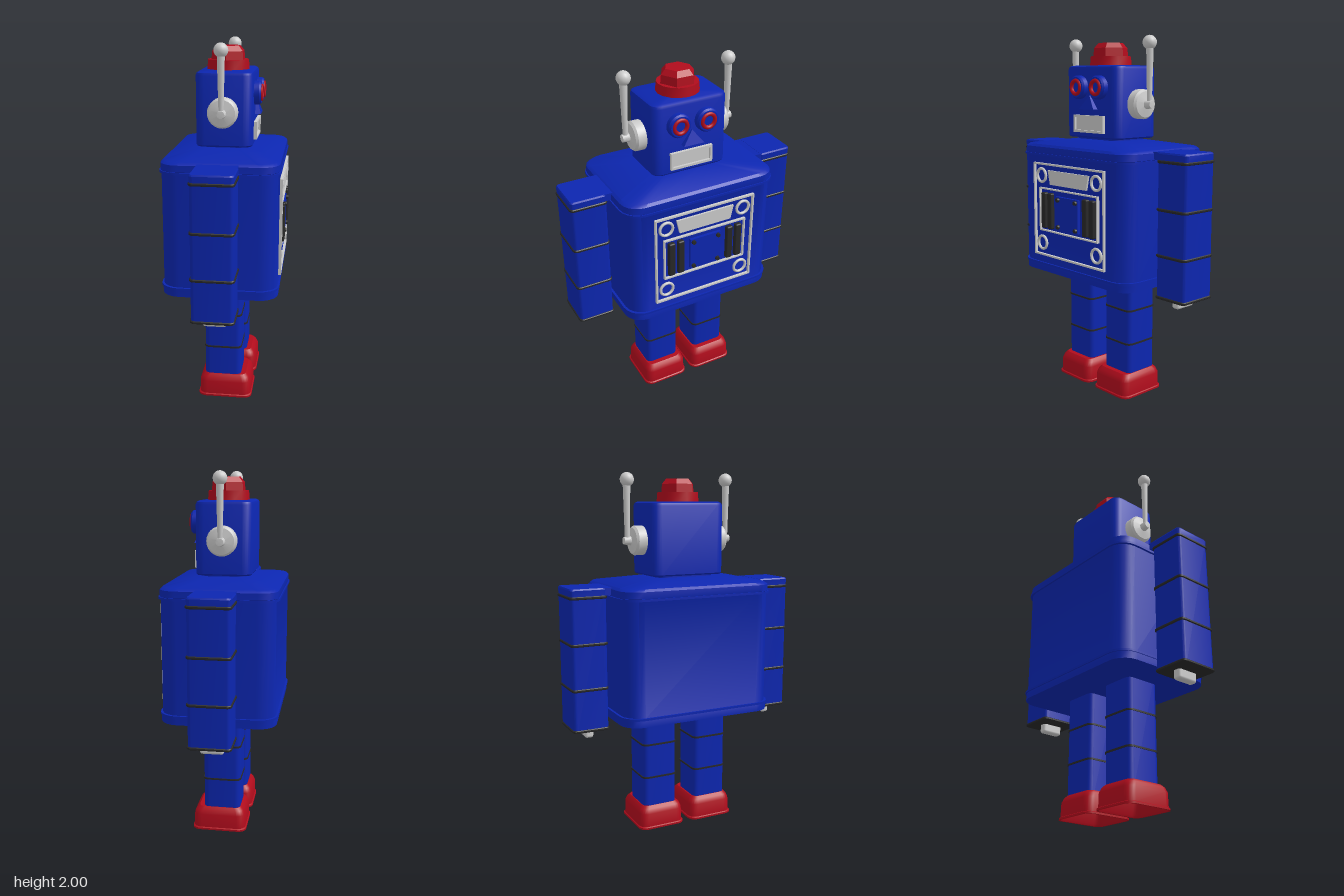
import * as THREE from 'three';
import { toCreasedNormals } from 'three/addons/utils/BufferGeometryUtils.js';
import { RoundedBoxGeometry } from 'three/addons/geometries/RoundedBoxGeometry.js';

const mat = (color) => new THREE.MeshStandardMaterial({ color, side: THREE.DoubleSide });

// Stack of rounded-rectangle rings [y, halfX, halfZ, cornerRadius], listed in order along the skin
function loft(rings, capStart = true, capEnd = true) {
  const pos = [], idx = [], seg = 5, n = 4 * (seg + 1);
  for (const [y, hx, hz, r] of rings) {
    for (let q = 0; q < 4; q++) {
      const sx = q === 0 || q === 3 ? 1 : -1, sz = q < 2 ? 1 : -1;
      for (let i = 0; i <= seg; i++) {
        const a = (q + i / seg) * Math.PI / 2;
        pos.push(sx * (hx - r) + r * Math.cos(a), y, sz * (hz - r) + r * Math.sin(a));
      }
    }
  }
  for (let k = 0; k < rings.length - 1; k++) {
    for (let i = 0; i < n; i++) {
      const a = k * n + i, b = k * n + (i + 1) % n;
      idx.push(a, a + n, b, b, a + n, b + n);
    }
  }
  const cap = (k, up) => {
    const c = pos.length / 3;
    pos.push(0, rings[k][0], 0);
    for (let i = 0; i < n; i++) {
      const a = k * n + i, b = k * n + (i + 1) % n;
      idx.push(c, up ? b : a, up ? a : b);
    }
  };
  if (capStart) cap(0, false);
  if (capEnd) cap(rings.length - 1, true);
  const g = new THREE.BufferGeometry();
  g.setAttribute('position', new THREE.Float32BufferAttribute(pos, 3));
  g.setIndex(idx);
  return toCreasedNormals(g, 0.6);
}

// Flat polygon extruded toward +z, with optional hole
function plate(points, depth, hole) {
  const s = new THREE.Shape(points.map((p) => new THREE.Vector2(...p)));
  if (hole) s.holes.push(new THREE.Path(hole.map((p) => new THREE.Vector2(...p))));
  return new THREE.ExtrudeGeometry(s, { depth, bevelEnabled: false });
}
const rect = (w, h) => [[-w / 2, -h / 2], [w / 2, -h / 2], [w / 2, h / 2], [-w / 2, h / 2]];
const frame = (w, h, t, depth) => plate(rect(w, h), depth, rect(w - 2 * t, h - 2 * t));

export function createModel() {
  const blue = mat(0x0c26b0), red = mat(0xb00c1c), dark = mat(0x282828), grey = mat(0xcccccc);
  const robot = new THREE.Group();
  robot.name = 'robot';
  const add = (name, geo, m, x = 0, y = 0, z = 0, parent = robot) => {
    const mesh = new THREE.Mesh(geo, m);
    mesh.name = name;
    mesh.position.set(x, y, z);
    parent.add(mesh);
    return mesh;
  };
  const mid = -0.01;

  // Torso with sloping shoulders and two raised seams
  add('torso', loft([
    [0.675, 0.448, 0.314, 0.1], [0.715, 0.448, 0.314, 0.1], [0.725, 0.44, 0.31, 0.1],
    [1.35, 0.44, 0.31, 0.1], [1.36, 0.447, 0.315, 0.1], [1.395, 0.445, 0.313, 0.1],
    [1.408, 0.43, 0.3, 0.1], [1.44, 0.17, 0.12, 0.06],
  ]), blue, 0, 0, mid);
  for (const y of [0.72, 1.352]) {
    add('torsoSeam', loft([[-0.006, 0.453, 0.32, 0.105], [0.006, 0.453, 0.32, 0.105]]), blue, 0, y, mid);
  }
  add('neck', loft([[1.42, 0.17, 0.12, 0.05], [1.46, 0.17, 0.12, 0.05]]), blue, 0, 0, mid);

  // Head
  add('head', loft([
    [1.45, 0.21, 0.147, 0.045], [1.458, 0.217, 0.153, 0.05], [1.825, 0.217, 0.153, 0.05],
    [1.838, 0.212, 0.148, 0.048], [1.845, 0.198, 0.135, 0.04],
  ]), blue, 0, 0, mid);

  // Round cap with a six-sided crown
  add('capBase', toCreasedNormals(new THREE.CylinderGeometry(0.112, 0.117, 0.055, 16), 0.6), red, 0, 1.868, mid);
  const crown = new THREE.LatheGeometry([[0.1, 0], [0.095, 0.05], [0.07, 0.078], [0, 0.08]]
    .map((p) => new THREE.Vector2(...p)), 6);
  add('capCrown', toCreasedNormals(crown, 0.3), red, 0, 1.89, mid).rotation.y = Math.PI / 2;

  // Eyes, ears and antennas
  for (const s of [-1, 1]) {
    const eye = new THREE.Group();
    eye.name = 'eye';
    eye.position.set(s * 0.081, 1.727, 0.14);
    robot.add(eye);
    const socket = new THREE.LatheGeometry([[0.064, 0], [0.064, 0.03], [0.056, 0.04], [0.045, 0.04],
      [0.03, 0.028], [0, 0.028]].map((p) => new THREE.Vector2(...p)), 24);
    add('eyeSocket', toCreasedNormals(socket, 0.5), blue, 0, 0, 0, eye).rotation.x = Math.PI / 2;
    add('eyeRing', new THREE.TorusGeometry(0.037, 0.011, 8, 24), red, 0, 0, 0.038, eye);

    const ear = new THREE.LatheGeometry([[0.08, 0], [0.08, 0.05], [0.07, 0.062], [0.025, 0.072],
      [0.02, 0.11], [0, 0.112]].map((p) => new THREE.Vector2(...p)), 24);
    add('ear', toCreasedNormals(ear, 0.5), grey, s * 0.215, 1.638, mid).rotation.z = -s * Math.PI / 2;
    add('antennaRod', new THREE.CylinderGeometry(0.021, 0.013, 0.32, 12), grey, s * 0.304, 1.79, mid);
    add('antennaBall', new THREE.SphereGeometry(0.038, 16, 12), grey, s * 0.302, 1.962, mid);
  }

  // Nose wedge, flush at the tip
  const nose = plate([[-0.06, 0], [0.06, 0], [0, 0.075]], 0.04);
  const np = nose.attributes.position;
  for (let i = 0; i < np.count; i++) if (np.getY(i) > 0.07 && np.getZ(i) > 0) np.setZ(i, 0.015);
  nose.computeVertexNormals();
  add('nose', nose, blue, 0, 1.608, 0.135);

  // Mouth
  add('mouthFrame', frame(0.246, 0.096, 0.013, 0.025), grey, -0.004, 1.527, 0.135);
  add('mouthPanel', plate(rect(0.22, 0.07), 0.008), grey, -0.004, 1.527, 0.139);

  // Chest panel
  const chest = new THREE.Group();
  chest.name = 'chestPanel';
  chest.position.set(-0.002, 1.038, 0.297);
  robot.add(chest);
  add('outerFrame', frame(0.6, 0.535, 0.01, 0.018), grey, 0, 0, 0, chest);
  add('innerFrame', frame(0.5, 0.25, 0.008, 0.018), grey, 0, 0.003, 0, chest);
  add('displayWindow', plate([[-0.155, 0.15], [0.155, 0.15], [0.173, 0.23], [-0.173, 0.23]], 0.014), grey, 0, 0, 0, chest);
  add('centrePlate', plate(rect(0.186, 0.186), 0.02), blue, 0, -0.003, 0, chest);
  for (const s of [-1, 1]) {
    for (const y of [0.197, -0.193]) {
      add('dialRing', new THREE.TorusGeometry(0.038, 0.008, 8, 24), grey, s * 0.233, y, 0.01, chest);
    }
    for (const x of [0.15, 0.205]) {
      add('vent', new RoundedBoxGeometry(0.038, 0.205, 0.03, 2, 0.008), dark, s * x, 0, 0.012, chest);
    }
    for (const y of [0.073, -0.08]) {
      const rivet = add('rivet', new THREE.CylinderGeometry(0.011, 0.013, 0.014, 12), dark, s * 0.075, y, 0.025, chest);
      rivet.rotation.x = Math.PI / 2;
    }
  }

  for (const s of [-1, 1]) {
    // Arm with shoulder bridge, dark bands and a small hand peg
    add('arm', loft([
      [0.63, 0.1, 0.11, 0.02], [1.36, 0.1, 0.11, 0.02], [1.395, 0.101, 0.112, 0.02], [1.403, 0.096, 0.107, 0.018],
    ]), blue, s * 0.57, 0, mid);
    add('shoulder', new THREE.BoxGeometry(0.14, 0.04, 0.215), blue, s * 0.45, 1.382, mid);
    for (const y of [0.634, 0.86, 1.105, 1.355]) {
      add('armBand', loft([[-0.008, 0.1, 0.112, 0.02], [-0.004, 0.105, 0.116, 0.023],
        [0.004, 0.105, 0.116, 0.023], [0.008, 0.1, 0.112, 0.02]]), dark, s * 0.57, y, mid);
    }
    add('hand', new RoundedBoxGeometry(0.048, 0.07, 0.125, 3, 0.014), grey, s * 0.567, 0.61, mid);

    // Leg with thin bands
    add('leg', loft([[0.1, 0.102, 0.103, 0.03], [0.69, 0.102, 0.103, 0.03]]), blue, s * 0.16, 0, mid);
    for (const y of [0.3, 0.495]) {
      add('legBand', loft([[-0.005, 0.106, 0.107, 0.032], [0.005, 0.106, 0.107, 0.032]]), dark, s * 0.16, y, mid);
    }

    // Foot, hollow underneath
    add('foot', loft([
      [0.09, 0.115, 0.13, 0.03], [0.012, 0.125, 0.14, 0.04], [0, 0.13, 0.145, 0.04], [0, 0.139, 0.153, 0.045],
      [0.01, 0.139, 0.153, 0.045], [0.014, 0.133, 0.147, 0.045], [0.09, 0.131, 0.145, 0.045],
      [0.115, 0.122, 0.133, 0.04], [0.13, 0.108, 0.118, 0.035],
    ]), red, s * 0.158, 0, 0.003);
  }

  // Turn the figure to face +x
  robot.rotation.y = Math.PI / 2;
  const model = new THREE.Group();
  model.name = 'toyRobot';
  model.add(robot);
  return model;
}
